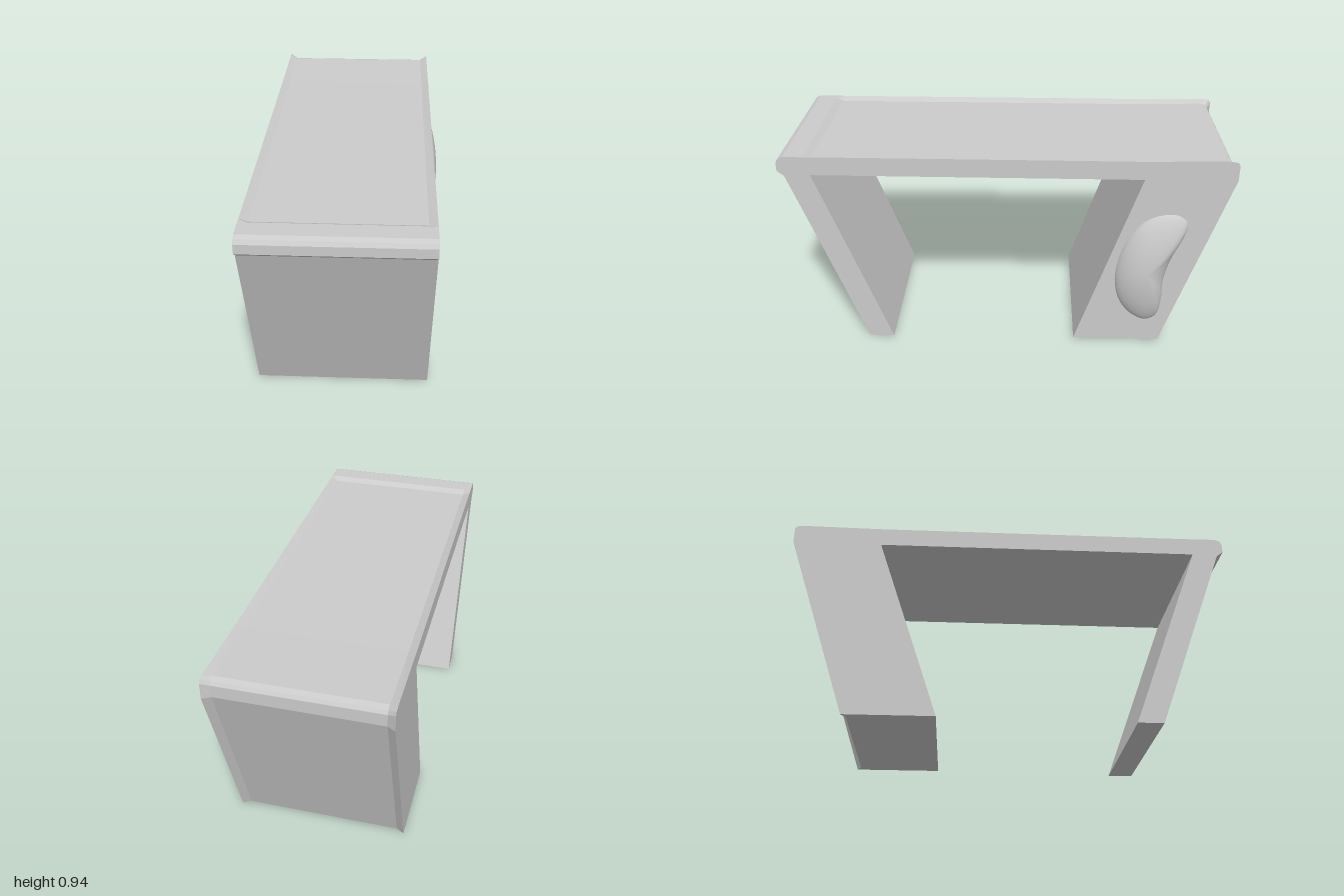
import * as THREE from 'three';

const X0 = -0.413, X1 = 0.343, RIM = 0.034;

// Side profile [z, y, recessed z, recessed y], counter-clockwise seen from +x.
// The last two values apply between the two raised rims.
const PROFILE = [
  [0.54, 0], [0.855, 0.85], [-0.6, 0.85], [-0.32, 0.01],          // inner faces of legs and underside
  [-0.72, 0.01, -0.70, 0.01], [-1, 0.85, -0.98, 0.85],            // back face
  [-1, 0.922, -0.98, 0.905], [-0.992, 0.935, -0.97, 0.92],
  [-0.97, 0.94, -0.945, 0.927], [-0.6, 0.935, -0.6, 0.92],        // rounded back edge
  [0.85, 0.934, 0.85, 0.92], [0.88, 0.935], [0.968, 0.935],       // top and front ridge
  [0.99, 0.926], [1, 0.909], [1, 0.868], [0.97, 0.845], [0.655, 0],
];

function bodyGeometry() {
  const outer = PROFILE.map(([z, y]) => [z, y]);
  const inner = PROFILE.map(([z, y, rz = z, ry = y]) => [rz, ry]);
  const rings = [[X0, outer], [X0 + RIM, inner], [X1 - RIM, inner], [X1, outer]]
    .map(([x, pts]) => pts.map(([z, y]) => new THREE.Vector3(x, y, z)));
  const tris = [];
  // walls between neighbouring cross-sections
  for (let k = 0; k < rings.length - 1; k++) {
    const a = rings[k], b = rings[k + 1];
    for (let i = 0; i < a.length; i++) {
      const j = (i + 1) % a.length;
      tris.push(b[i], a[i], b[j], a[i], a[j], b[j]);
    }
  }
  // flat end caps
  const flat = outer.map(([z, y]) => new THREE.Vector2(-z, y));
  for (const [i, j, k] of THREE.ShapeUtils.triangulateShape(flat, [])) {
    const ccw = THREE.ShapeUtils.area([flat[i], flat[j], flat[k]]) > 0;
    const [p, q] = ccw ? [j, k] : [k, j];
    tris.push(rings[3][i], rings[3][p], rings[3][q]);
    tris.push(rings[0][i], rings[0][q], rings[0][p]);
  }
  const g = new THREE.BufferGeometry().setFromPoints(tris);
  g.computeVertexNormals();
  return g;
}

// Bean-shaped dome: the outline shrinks to its peak while rising outward
function bulgeGeometry() {
  const outline = [
    [-0.76, 0.678], [-0.68, 0.675], [-0.61, 0.64], [-0.55, 0.56], [-0.51, 0.45],
    [-0.5, 0.33], [-0.53, 0.22], [-0.59, 0.15], [-0.65, 0.125], [-0.7, 0.15],
    [-0.718, 0.24], [-0.72, 0.35], [-0.75, 0.47], [-0.797, 0.58], [-0.805, 0.64],
  ].map(([z, y]) => new THREE.Vector3(0, y, z));
  const N = 64, M = 14;
  const pts = new THREE.CatmullRomCurve3(outline, true).getSpacedPoints(N).slice(0, N);
  const peak = new THREE.Vector3(0, 0.4, -0.64);
  const verts = [], index = [];
  for (let k = 0; k < M; k++) {
    const r = Math.cos((k / M) * Math.PI / 2);
    const x = X1 + 0.067 * Math.pow(1 - r * r, 0.7);
    for (const p of pts) {
      const v = peak.clone().lerp(p, r);
      v.x = x;
      verts.push(v);
    }
  }
  verts.push(new THREE.Vector3(X1 + 0.067, peak.y, peak.z));
  for (let k = 0; k < M; k++) {
    for (let i = 0; i < N; i++) {
      const j = (i + 1) % N, a = k * N + i, b = k * N + j;
      if (k === M - 1) index.push(a, b, M * N);
      else index.push(a, b + N, a + N, a, b, b + N);
    }
  }
  const g = new THREE.BufferGeometry().setFromPoints(verts);
  g.setIndex(index);
  // the outline runs counter-clockwise seen from +x
  g.computeVertexNormals();
  return g;
}

export function createModel() {
  const model = new THREE.Group();
  model.name = 'slantedTable';
  const add = (name, geometry, flatShading) => {
    const mesh = new THREE.Mesh(geometry, new THREE.MeshStandardMaterial({ color: 0xcccccc, flatShading }));
    mesh.name = name;
    model.add(mesh);
  };
  add('tableBody', bodyGeometry(), true);
  add('sideBulge', bulgeGeometry(), false);
  return model;
}
